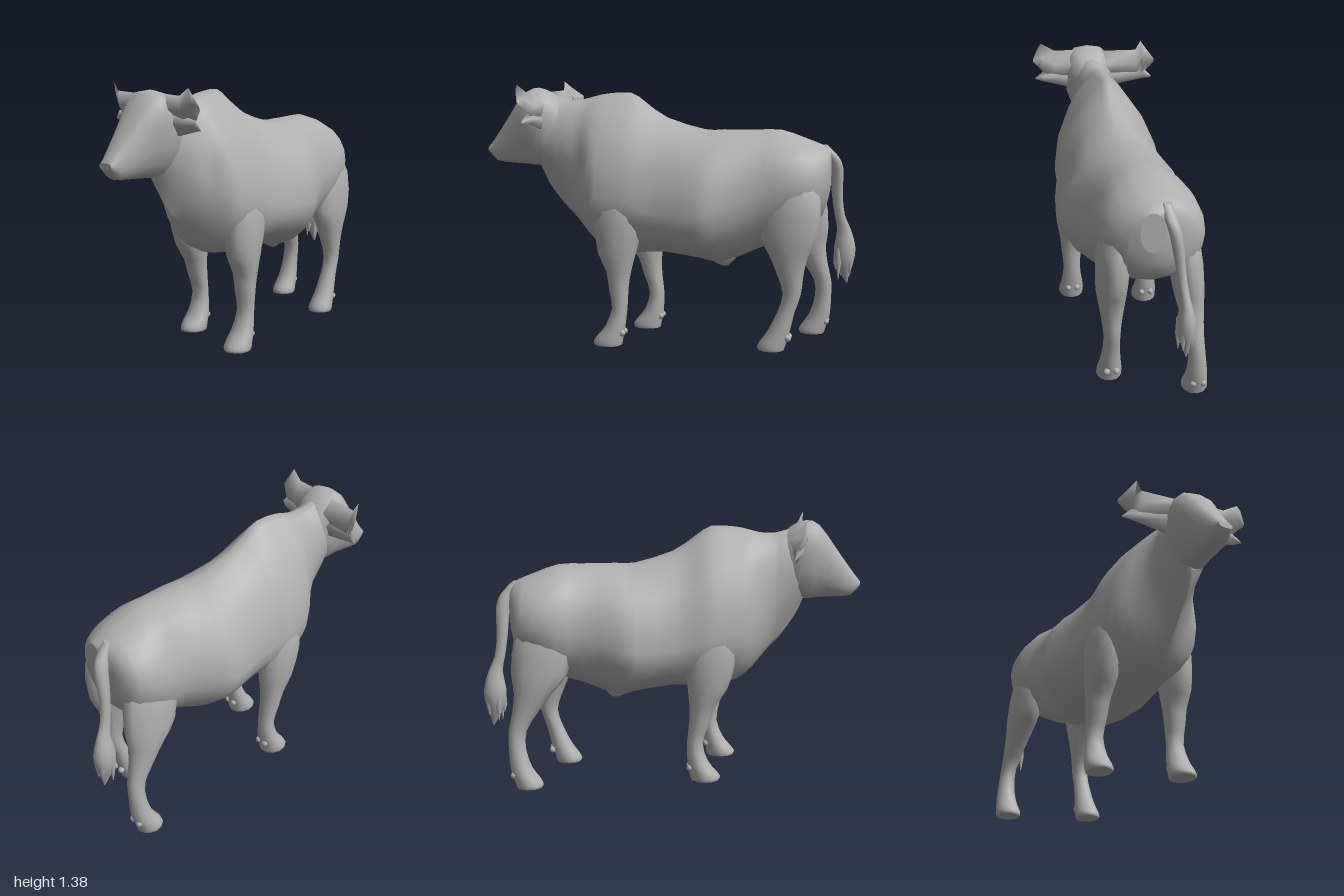
import * as THREE from 'three';

const hide = new THREE.MeshStandardMaterial({ color: 0xb0b0b0 });
hide.name = 'grey hide';

// Smoothly adds rows between the given section rows
function refine(rows, steps) {
  const out = [];
  for (let i = 0; i < rows.length - 1; i++) {
    const [a, b, c, d] = [-1, 0, 1, 2].map(k => rows[Math.min(rows.length - 1, Math.max(0, i + k))]);
    for (let s = 0; s < steps; s++) {
      const t = s / steps;
      out.push(b.map((v, k) => v + 0.5 * t * (c[k] - a[k]
        + t * (2 * a[k] - 5 * v + 4 * c[k] - d[k] + t * (3 * (v - c[k]) + d[k] - a[k])))));
    }
  }
  out.push(rows[rows.length - 1]);
  return out;
}

// Closed skin over rings of points, capped at both ends
function loft(rings) {
  const n = rings[0].length, pos = [], idx = [];
  rings.forEach(r => r.forEach(p => pos.push(...p)));
  for (let i = 0; i < rings.length - 1; i++) {
    for (let j = 0; j < n; j++) {
      const a = i * n + j, b = i * n + (j + 1) % n;
      idx.push(a, b, a + n, b, b + n, a + n);
    }
  }
  [0, rings.length - 1].forEach((i, end) => {
    const start = pos.length / 3;
    rings[i].forEach(p => pos.push(...p));
    const mid = [0, 1, 2].map(k => rings[i].reduce((s, p) => s + p[k], 0) / n);
    pos.push(...mid);
    for (let j = 0; j < n; j++) {
      const a = start + j, b = start + (j + 1) % n;
      idx.push(start + n, end ? a : b, end ? b : a);
    }
  });
  const g = new THREE.BufferGeometry();
  g.setAttribute('position', new THREE.Float32BufferAttribute(pos, 3));
  g.setIndex(idx);
  g.computeVertexNormals();
  return g;
}

// Rows along z: [z, centreX, halfWidth, top, widestY, bottom, upperTaper, lowerTaper]
function alongZ(rows, sides = 20) {
  return loft(refine(rows, 2).map(([z, cx, w, top, mid, bot, p, q]) =>
    Array.from({ length: sides }, (_, j) => {
      const a = (j / sides) * Math.PI * 2, c = Math.cos(a), s = Math.sin(a);
      const x = Math.sign(c) * Math.pow(Math.abs(c), s > 0 ? p : q);
      return [cx + w * x, mid + s * (s > 0 ? top - mid : mid - bot), z];
    })));
}

// Rows downward: [y, x, z, radiusX, radiusZ]
function downY(rows, sides = 12, steps = 2) {
  return loft(refine(rows, steps).map(([y, x, z, rx, rz]) =>
    Array.from({ length: sides }, (_, j) => {
      const a = (j / sides) * Math.PI * 2;
      return [x + rx * Math.cos(a), y, z + rz * Math.sin(a)];
    })));
}

const FRONT_LEG = [
  [0.92, -0.03, 0, 0.04, 0.08], [0.78, -0.005, 0, 0.07, 0.115], [0.65, 0, 0, 0.085, 0.13],
  [0.5, 0, 0.01, 0.08, 0.105], [0.4, 0, 0, 0.064, 0.068], [0.31, 0, 0, 0.056, 0.054],
  [0.2, 0, -0.005, 0.047, 0.042], [0.1, 0, 0.02, 0.06, 0.055], [0.05, 0, 0.045, 0.068, 0.07],
  [0.015, 0, 0.06, 0.07, 0.08], [0, 0, 0.06, 0.066, 0.076],
];
const HIND_LEG = [
  [1.0, -0.05, 0, 0.04, 0.06], [0.8, -0.012, -0.01, 0.08, 0.145], [0.6, 0, 0, 0.08, 0.145],
  [0.5, 0, 0, 0.07, 0.1], [0.4, 0, -0.01, 0.054, 0.068], [0.3, 0, -0.02, 0.043, 0.047],
  [0.2, 0, 0.01, 0.045, 0.045], [0.1, 0, 0.045, 0.055, 0.058], [0.04, 0, 0.075, 0.064, 0.07],
  [0.012, 0, 0.085, 0.066, 0.072], [0, 0, 0.085, 0.062, 0.068],
];

// Places a leg; stride and splay move the lower part along z and x
function leg(rows, side, x, z, stride = 0, splay = 0) {
  return downY(rows.map(([y, dx, dz, rx, rz]) => {
    const t = Math.min(1, Math.max(0, (0.7 - y) / 0.55));
    return [y, x + side * dx + splay * t, z + dz + stride * t, rx, rz];
  }));
}

// Horn and ear blade: rows [x, upperY, upperZ, lowerY, lowerZ, thickness] outward from the head
function blade(rows, side) {
  return loft(rows.map(([x, y1, z1, y0, z0, t]) => {
    const y = (y0 + y1) / 2, z = (z0 + z1) / 2;
    const ring = [[x, y1, z1], [x, y, z + t], [x, y0, z0], [x, y, z - t]];
    return side > 0 ? ring.reverse() : ring;
  }).map(r => r.reverse()));
}

export function createModel() {
  const bull = new THREE.Group();
  bull.name = 'bull';
  const add = (name, geometry) => {
    const m = new THREE.Mesh(geometry, hide);
    m.name = name;
    bull.add(m);
    return m;
  };

  // Trunk, hump, neck and dewlap
  add('body', alongZ([
    [-0.86, -0.04, 0.06, 1.03, 0.94, 0.83, 1, 1],
    [-0.82, -0.08, 0.19, 1.06, 0.88, 0.69, 1, 1],
    [-0.72, -0.07, 0.25, 1.10, 0.86, 0.61, 1, 1],
    [-0.60, -0.06, 0.26, 1.14, 0.83, 0.55, 1, 1],
    [-0.47, -0.035, 0.25, 1.14, 0.80, 0.50, 1, 1],
    [-0.30, -0.02, 0.305, 1.14, 0.74, 0.43, 1.1, 1.2],
    [-0.20, -0.01, 0.325, 1.14, 0.71, 0.45, 1.2, 1.1],
    [0.00, 0, 0.285, 1.20, 0.72, 0.48, 1.4, 1],
    [0.12, 0, 0.285, 1.28, 0.75, 0.47, 1.7, 1],
    [0.20, 0, 0.285, 1.33, 0.78, 0.47, 1.9, 1],
    [0.33, 0.01, 0.265, 1.325, 0.80, 0.50, 1.7, 1],
    [0.40, 0.01, 0.225, 1.31, 0.84, 0.54, 1.4, 1.1],
    [0.46, 0.01, 0.165, 1.295, 0.89, 0.60, 1.1, 1.2],
    [0.53, 0.02, 0.13, 1.29, 0.99, 0.68, 1, 1.8],
    [0.58, 0.02, 0.12, 1.30, 1.05, 0.73, 1, 2.4],
    [0.66, 0.03, 0.11, 1.32, 1.10, 0.84, 1, 2.2],
    [0.70, 0.03, 0.09, 1.32, 1.12, 0.93, 1, 1.5],
  ]));

  // Wedge-shaped head ending in a narrow muzzle
  add('head', alongZ([
    [0.58, 0.03, 0.09, 1.28, 1.15, 1.00, 0.8, 0.9],
    [0.64, 0.03, 0.125, 1.33, 1.17, 0.95, 0.7, 0.9],
    [0.71, 0.03, 0.135, 1.355, 1.20, 0.935, 0.6, 1],
    [0.78, 0.03, 0.115, 1.33, 1.18, 0.94, 0.6, 1],
    [0.87, 0.025, 0.085, 1.21, 1.08, 0.945, 0.6, 0.8],
    [0.95, 0.02, 0.058, 1.10, 1.02, 0.953, 0.6, 0.6],
    [1.00, 0.02, 0.04, 1.035, 1.02, 1.005, 0.7, 0.7],
  ], 16));

  // Horns sweep up and out, with the ears below them
  add('leftHorn', blade([
    [0.08, 1.34, 0.70, 1.20, 0.65, 0.05], [0.22, 1.335, 0.715, 1.19, 0.67, 0.025],
    [0.295, 1.375, 0.735, 1.225, 0.68, 0.012], [0.315, 1.35, 0.735, 1.25, 0.69, 0.008],
    [0.345, 1.29, 0.72, 1.275, 0.71, 0.003],
  ], 1));
  add('leftEar', blade([
    [0.08, 1.25, 0.68, 1.13, 0.64, 0.04], [0.17, 1.25, 0.69, 1.14, 0.66, 0.025],
    [0.29, 1.225, 0.69, 1.17, 0.67, 0.012], [0.335, 1.185, 0.70, 1.178, 0.695, 0.003],
  ], 1));
  add('rightHorn', blade([
    [-0.03, 1.33, 0.69, 1.20, 0.65, 0.05], [-0.24, 1.335, 0.66, 1.19, 0.615, 0.022],
    [-0.27, 1.385, 0.665, 1.22, 0.60, 0.014], [-0.295, 1.35, 0.63, 1.24, 0.59, 0.01],
    [-0.33, 1.305, 0.575, 1.29, 0.57, 0.003],
  ], -1));
  add('rightEar', blade([
    [-0.03, 1.25, 0.68, 1.13, 0.64, 0.04], [-0.1, 1.25, 0.67, 1.14, 0.64, 0.03],
    [-0.28, 1.235, 0.62, 1.18, 0.61, 0.012], [-0.32, 1.195, 0.60, 1.188, 0.60, 0.003],
  ], -1));

  // Four legs in mid-step
  add('leftFrontLeg', leg(FRONT_LEG, 1, 0.205, 0.22));
  add('rightFrontLeg', leg(FRONT_LEG, -1, -0.205, 0.2, -0.095));
  add('leftHindLeg', leg(HIND_LEG, 1, 0.12, -0.665));
  add('rightHindLeg', leg(HIND_LEG, -1, -0.235, -0.665, -0.18, -0.05));

  // Dewclaws behind the feet
  [[0.205, 0.197], [-0.205, 0.082], [0.12, -0.67], [-0.285, -0.838]].forEach(([x, z]) => {
    [-0.025, 0.025].forEach(dx => {
      const claw = add('dewclaw', new THREE.SphereGeometry(0.018, 8, 6));
      claw.position.set(x + dx, 0.07, z);
    });
  });

  // Sheath under the belly
  add('sheath', downY([
    [0.50, -0.02, -0.26, 0.06, 0.14], [0.45, -0.02, -0.29, 0.045, 0.08], [0.41, -0.02, -0.31, 0.012, 0.02],
  ], 10));

  // Tail with a ragged tuft
  add('tail', downY([
    [1.06, -0.11, -0.82, 0.02, 0.015], [1.0, -0.12, -0.86, 0.03, 0.035], [0.93, -0.14, -0.885, 0.03, 0.037],
    [0.8, -0.16, -0.89, 0.025, 0.03], [0.68, -0.175, -0.905, 0.022, 0.028], [0.6, -0.185, -0.93, 0.025, 0.038],
    [0.5, -0.19, -0.935, 0.045, 0.06], [0.42, -0.19, -0.935, 0.04, 0.05], [0.36, -0.19, -0.94, 0.02, 0.025],
    [0.31, -0.19, -0.95, 0.003, 0.004],
  ], 10));
  [[0.03, 0.03], [-0.03, 0.02], [0.02, -0.03], [-0.02, -0.03], [0, 0.045]].forEach(([dx, dz], i) => {
    const x = -0.19 + dx, z = -0.935 + dz;
    add('tailHair', downY([
      [0.5, x, z, 0.012, 0.012], [0.42, x, z, 0.016, 0.016], [0.33 + 0.012 * i, x, z, 0.002, 0.002],
    ], 6, 1));
  });

  return bull;
}
